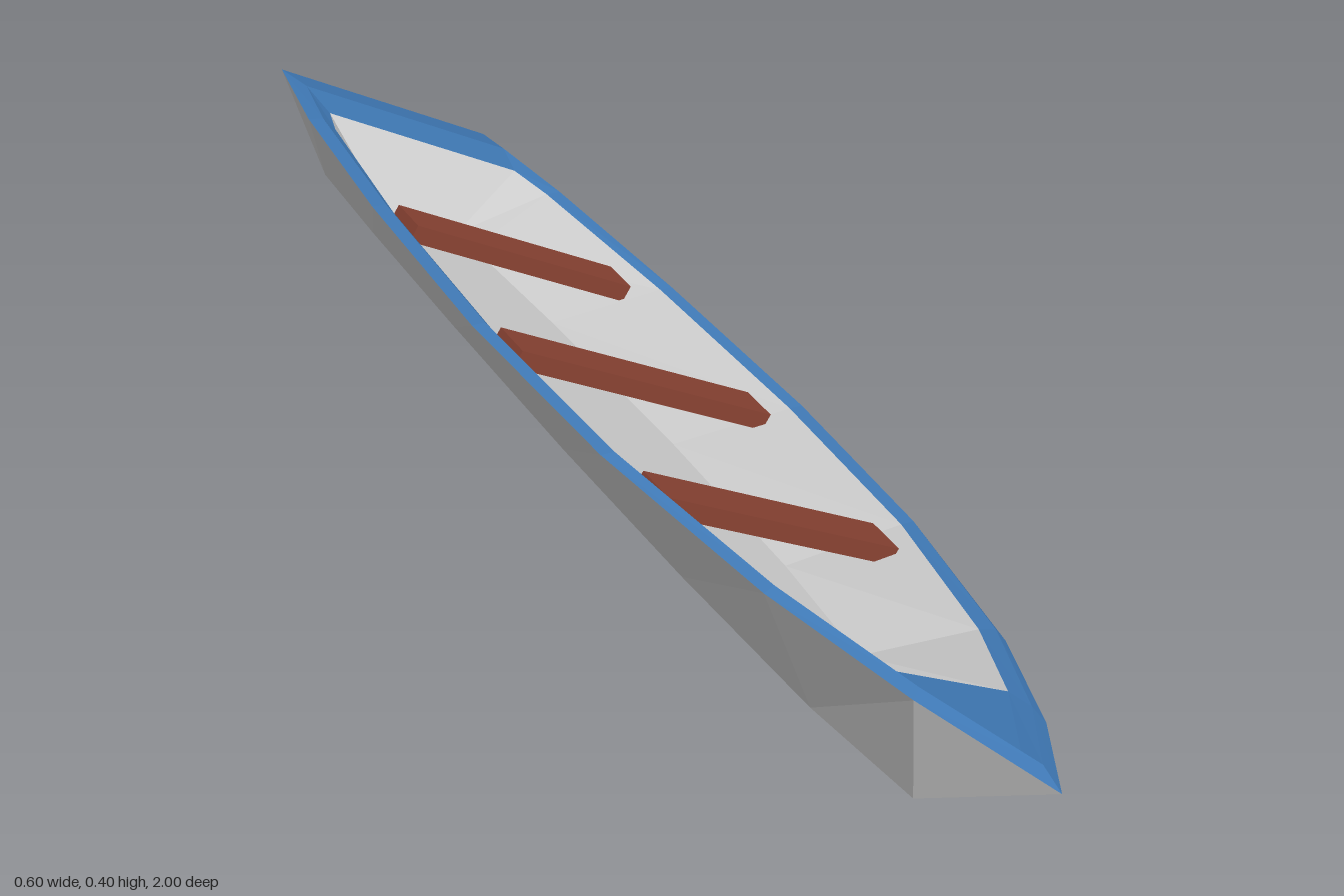
import * as THREE from 'three';

const mat = (name, color) => {
  const m = new THREE.MeshStandardMaterial({ color, flatShading: true, side: THREE.DoubleSide });
  m.name = name;
  return m;
};

// Closed outline: left side from stern to bow, then mirrored back to the stern.
function ring(z, halfWidth, y) {
  const left = z.map((zz, i) => new THREE.Vector3(halfWidth[i], y, zz));
  const right = left.map(p => new THREE.Vector3(-p.x, p.y, p.z)).reverse();
  return [...left, ...right];
}

// Quads between two closed outlines.
function band(a, b) {
  return a.map((p, i) => {
    const j = (i + 1) % a.length;
    return [p, a[j], b[j], b[i]];
  });
}

// Crosswise quads that fill an outline.
function cap(r, up) {
  const n = r.length, quads = [];
  for (let i = 0; i < n / 2 - 1; i++) {
    const q = [r[i], r[n - 1 - i], r[n - 2 - i], r[i + 1]];
    quads.push(up ? q : q.reverse());
  }
  return quads;
}

function faceMesh(name, quads, material) {
  const pts = [];
  const tri = new THREE.Triangle();
  for (const [a, b, c, d] of quads) {
    for (const t of [[a, b, c], [a, c, d]]) {
      tri.set(...t);
      if (tri.getArea() > 1e-7) pts.push(...t);
    }
  }
  const g = new THREE.BufferGeometry().setFromPoints(pts);
  g.computeVertexNormals();
  const m = new THREE.Mesh(g, material);
  m.name = name;
  return m;
}

export function createModel() {
  const grey = mat('hull grey', 0xd0d0d0);
  const blue = mat('trim blue', 0x417cba);
  const brown = mat('bench brown', 0x8a4333);

  const boat = new THREE.Group();
  boat.name = 'boat';

  // Outlines of the hull, from outside to inside
  const outer = ring([-1, -0.78, -0.45, -0.07, 0.28, 0.6, 0.82, 1],
    [0.228, 0.286, 0.335, 0.36, 0.336, 0.253, 0.138, 0], 0);
  const keel = ring([-1, -0.78, -0.45, -0.07, 0.28, 0.6, 0.8, 0.8],
    [0.045, 0.06, 0.072, 0.078, 0.07, 0.047, 0, 0], -0.162);
  const crest = ring([-0.92, -0.775, -0.45, -0.07, 0.28, 0.59, 0.8, 0.95],
    [0.222, 0.264, 0.313, 0.34, 0.316, 0.232, 0.118, 0], 0.01);
  const inner = ring([-0.845, -0.77, -0.45, -0.07, 0.28, 0.58, 0.75, 0.91],
    [0.207, 0.236, 0.292, 0.318, 0.295, 0.21, 0.12, 0], 0);
  const wallTop = inner.filter((p, i) => i !== 7 && i !== 8);
  const floor = ring([-0.75, -0.7, -0.45, -0.07, 0.28, 0.52, 0.655],
    [0.081, 0.088, 0.112, 0.126, 0.114, 0.082, 0.051], -0.11);

  // Outer shell with transom and flat bottom
  boat.add(faceMesh('outerHull', [...band(outer, keel), ...cap(keel, false)], grey));
  // Inside walls and floor
  boat.add(faceMesh('innerHull', [...band(floor, wallTop), ...cap(floor, true)], grey));
  // Raised gunwale, including the stern deck
  boat.add(faceMesh('gunwale', [...band(crest, outer), ...band(inner, crest)], blue));
  // Small triangular deck at the bow
  boat.add(faceMesh('bowDeck', [[inner[6], inner[9], inner[8], inner[7]]], blue));

  // Three benches
  for (const [z, length] of [[0.31, 0.486], [-0.085, 0.532], [-0.49, 0.466]]) {
    const bench = new THREE.Mesh(new THREE.BoxGeometry(length, 0.03, 0.07), brown);
    bench.name = 'bench';
    bench.position.set(0, -0.026, z);
    boat.add(bench);
  }

  // The boat lies heeled over on its left side
  boat.rotation.z = -0.584;
  boat.position.y = 0.199;

  const model = new THREE.Group();
  model.name = 'rowingBoat';
  model.add(boat);
  return model;
}
